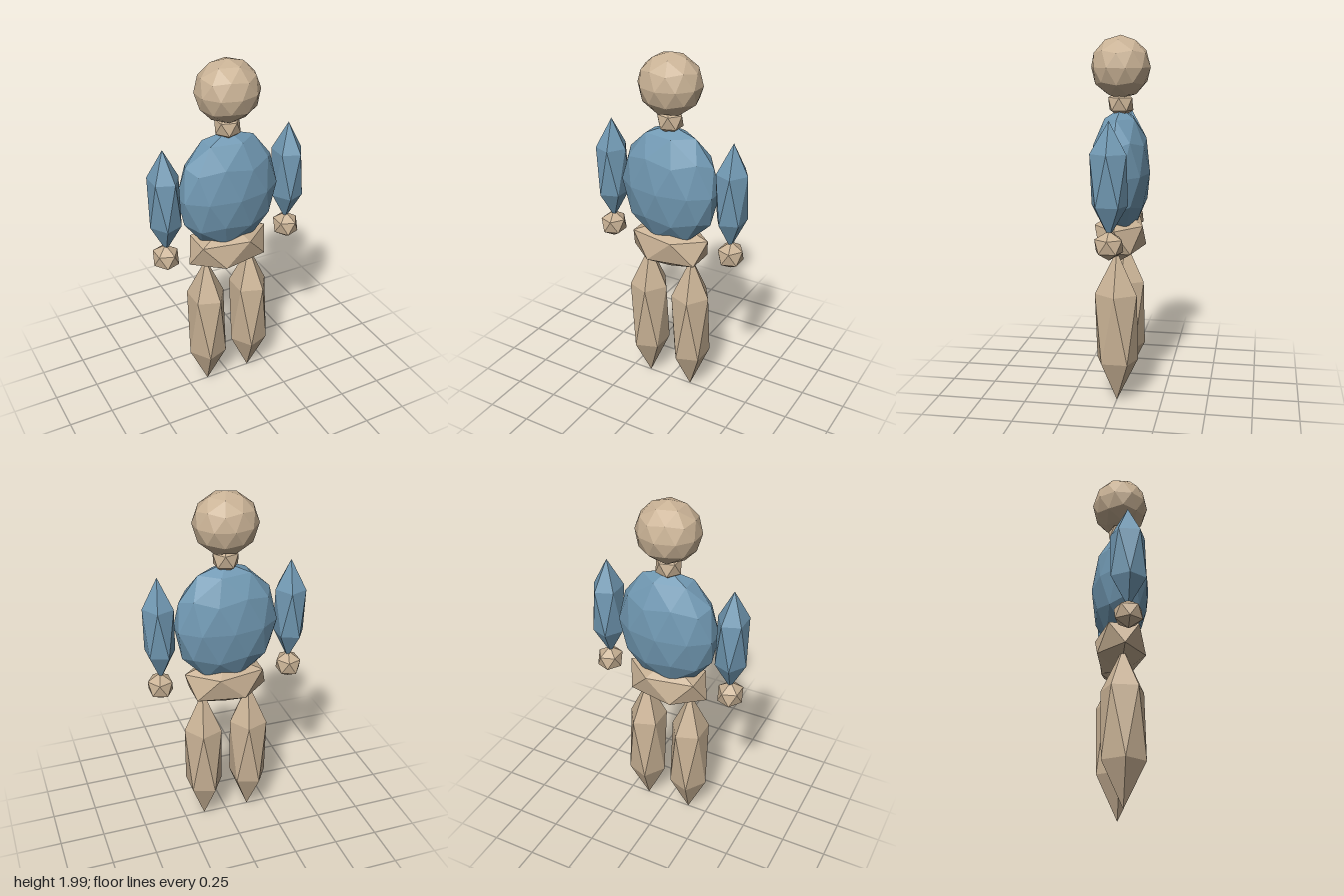
import * as THREE from 'three';

// Upright icosahedron: one pole each end, two staggered rings of five.
function icosphere(detail) {
  const h = 1 / Math.sqrt(5), r = 2 * h;
  const verts = [0, 1, 0];
  for (const [y, offset] of [[h, 0], [-h, Math.PI / 5]]) {
    for (let i = 0; i < 5; i++) {
      const a = offset + (i * Math.PI * 2) / 5;
      verts.push(r * Math.cos(a), y, -r * Math.sin(a));
    }
  }
  verts.push(0, -1, 0);
  const faces = [];
  for (let i = 0; i < 5; i++) {
    const j = (i + 1) % 5;
    const u = 1 + i, un = 1 + j, l = 6 + i, ln = 6 + j;
    faces.push(0, u, un, u, l, un, l, ln, un, 11, ln, l);
  }
  return new THREE.PolyhedronGeometry(verts, faces, 1, detail);
}

export function createModel() {
  const skin = new THREE.MeshStandardMaterial({ color: 0xcab396, flatShading: true });
  skin.name = 'skin';
  const shirt = new THREE.MeshStandardMaterial({ color: 0x7199b3, flatShading: true });
  shirt.name = 'shirt';

  const model = new THREE.Group();
  model.name = 'figure';

  // One stretched icosphere per body part.
  function blob(name, material, detail, position, radii) {
    const geometry = icosphere(detail).scale(...radii);
    geometry.computeVertexNormals();
    const mesh = new THREE.Mesh(geometry, material);
    mesh.name = name;
    mesh.position.set(...position);
    model.add(mesh);
  }

  // Head, neck and trunk
  blob('head', skin, 1, [0, 1.833, 0], [0.174, 0.167, 0.16]);
  blob('neck', skin, 0, [0, 1.64, 0], [0.077, 0.076, 0.076]);
  blob('torso', shirt, 1, [0, 1.272, 0], [0.289, 0.344, 0.16]);
  blob('pelvis', skin, 0, [0, 0.924, 0], [0.261, 0.147, 0.155]);

  // Limbs share one shape on both sides
  for (const [side, s] of [['left', 1], ['right', -1]]) {
    blob(side + 'Arm', shirt, 0, [s * 0.368, 1.288, 0], [0.095, 0.297, 0.11]);
    blob(side + 'Hand', skin, 0, [s * 0.372, 0.95, 0], [0.077, 0.078, 0.084]);
    blob(side + 'Leg', skin, 0, [s * 0.135, 0.436, 0], [0.121, 0.428, 0.135]);
  }
  return model;
}
